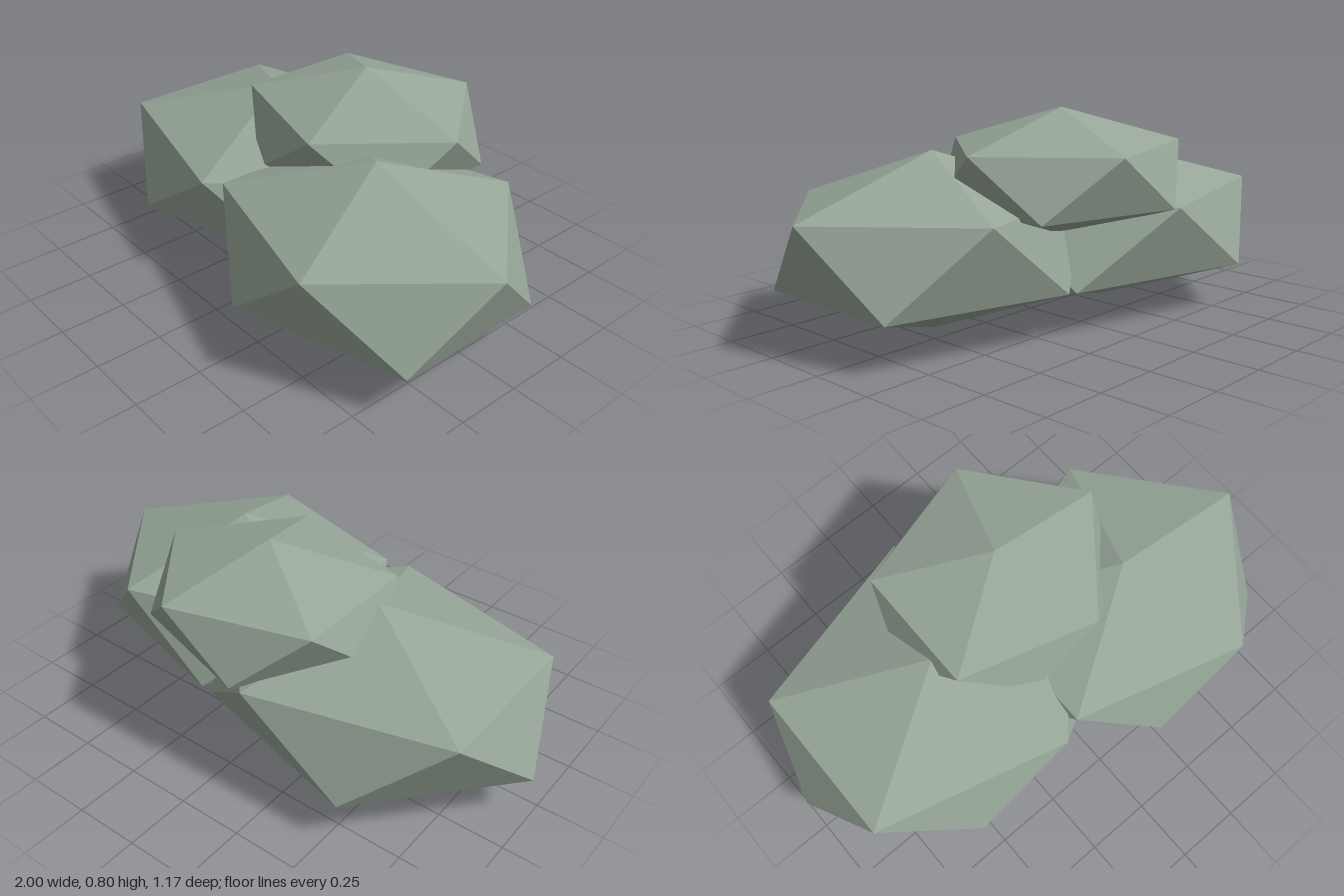
import * as THREE from 'three';

export function createModel() {
  const group = new THREE.Group();
  group.name = 'rockPile';

  const stone = new THREE.MeshStandardMaterial({ color: 0x97a698, flatShading: true });
  stone.name = 'sage grey stone';

  // Squashed icosahedron standing on a vertex, with one upper ring corner towards +x
  const tilt = -Math.atan(2 / (1 + Math.sqrt(5)));
  const ring = 2 / Math.sqrt(5); // ring radius of a unit icosahedron

  function addRock(name, [x, y, z], [ringX, halfHeight, ringZ]) {
    const geometry = new THREE.IcosahedronGeometry(1, 0);
    geometry.rotateZ(tilt);
    geometry.scale(ringX / ring, halfHeight, ringZ / ring);
    const rock = new THREE.Mesh(geometry, stone);
    rock.name = name;
    rock.position.set(x, y, z);
    group.add(rock);
  }

  addRock('leftRock', [0.41, 0.33, 0.098], [0.588, 0.326, 0.512]);
  addRock('rightRock', [-0.345, 0.318, -0.073], [0.655, 0.313, 0.536]);
  addRock('topRock', [0.045, 0.566, -0.189], [0.467, 0.235, 0.421]);

  return group;
}
